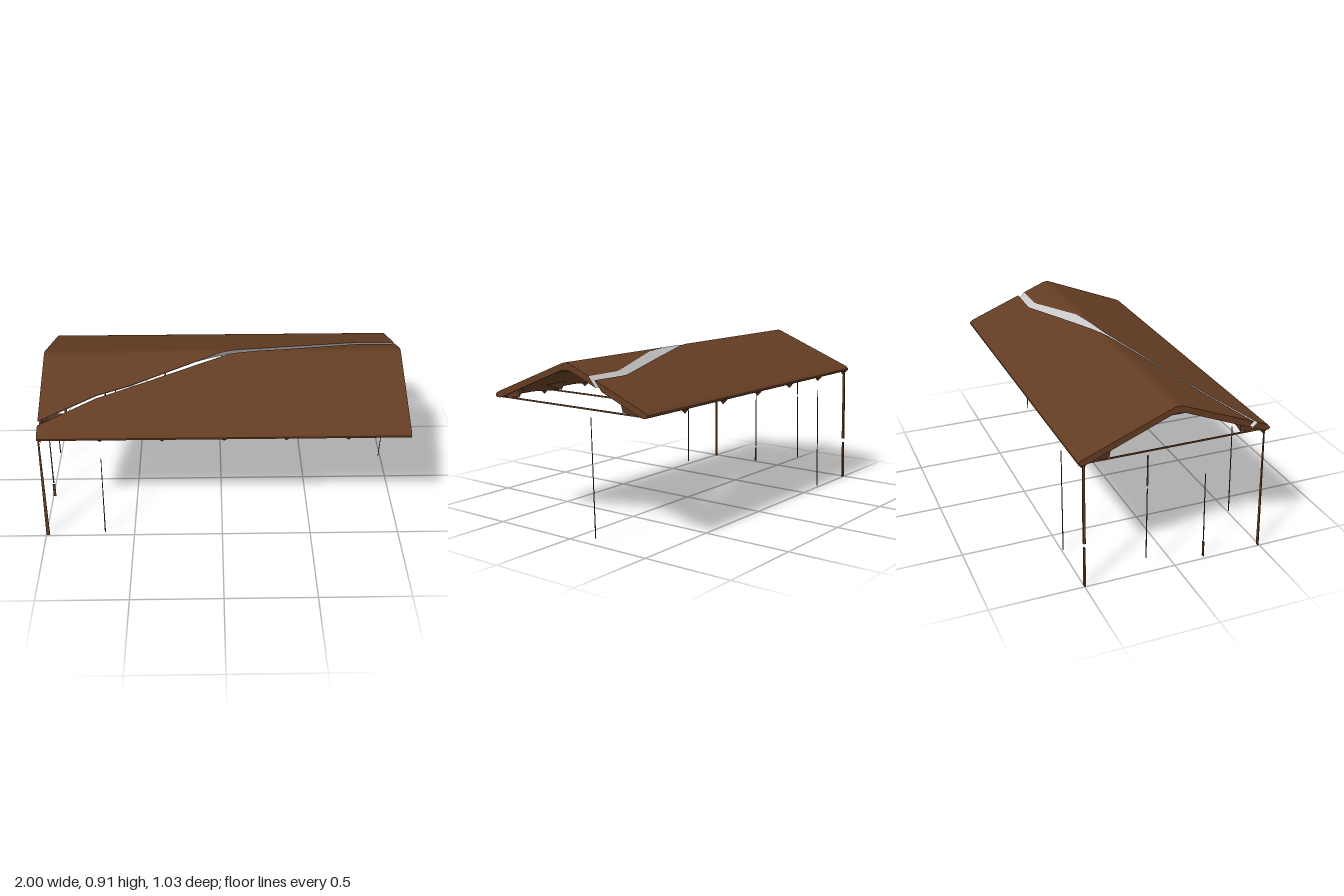
import * as THREE from 'three';
import { toCreasedNormals } from 'three/addons/utils/BufferGeometryUtils.js';

const brown = new THREE.MeshStandardMaterial({ color: 0x633c22, side: THREE.DoubleSide });
const grey = new THREE.MeshStandardMaterial({ color: 0xcccccc, side: THREE.DoubleSide });

// Straight-line interpolation through [input, output] pairs
function lerpTable(table, t) {
  for (let i = 1; i < table.length; i++) {
    const [a, va] = table[i - 1], [b, vb] = table[i];
    if (t <= b) return va + (vb - va) * Math.max(0, (t - a) / (b - a));
  }
  return table[table.length - 1][1];
}

// Roof height by distance from the ridge
const topY = z => lerpTable([[0, 0.912], [0.02, 0.908], [0.49, 0.72], [0.508, 0.711], [0.517, 0.7]], Math.abs(z));
const underY = z => lerpTable([[0, 0.87], [0.035, 0.868], [0.47, 0.69], [0.5, 0.682], [0.517, 0.69]], Math.abs(z));

// The two edges of the crack, as z along x
const frontEdge = x => lerpTable([[-0.98, 0.445], [-0.68, 0.29], [-0.5, 0.225], [0.05, 0.02], [0.36, -0.02], [0.78, -0.15], [1, -0.15]], x);
const backEdge = x => lerpTable([[-0.98, 0.42], [-0.68, 0.272], [-0.5, 0.215], [0.03, 0], [0.36, -0.085], [0.77, -0.195], [1, -0.19]], x);
const slant = x => lerpTable([[-0.98, 0.03], [0, 0.03], [0.5, 0.045], [1, 0.045]], x);

const gridZ = [0.517, 0.508, 0.49, 0.47, 0.36, 0.24, 0.12, 0.035, 0.02, 0,
  -0.02, -0.035, -0.12, -0.24, -0.36, -0.47, -0.49, -0.508, -0.517];
const N = gridZ.length;
const stations = [-0.965, -0.65, -0.32, 0.01, 0.34, 0.67, 0.985];

function quadGeometry(quads) {
  const pos = [];
  for (const [a, b, c, d] of quads) pos.push(...a, ...b, ...c, ...a, ...c, ...d);
  const g = new THREE.BufferGeometry();
  g.setAttribute('position', new THREE.Float32BufferAttribute(pos, 3));
  return g;
}

// One half of the broken roof shell, with its slanting fracture face
function roofHalf(name, edge, side) {
  const clip = side > 0 ? Math.max : Math.min;
  const rings = [];
  for (let i = 0; i <= 66; i++) {
    const x = -0.98 + 0.03 * i;
    const outer = gridZ.map(z => clip(z, edge(x))).map(z => [x, topY(z), z]);
    const inner = gridZ.map(z => clip(z, edge(x) - slant(x))).map(z => [x, underY(z), z]);
    rings.push([...outer, ...inner.reverse()]);
  }
  const crackSide = side > 0 ? N - 1 : 2 * N - 1;
  const skin = [], fracture = [];
  for (let i = 0; i < rings.length - 1; i++) {
    for (let j = 0; j < 2 * N; j++) {
      const k = (j + 1) % (2 * N);
      (j === crackSide ? fracture : skin).push([rings[i][j], rings[i + 1][j], rings[i + 1][k], rings[i][k]]);
    }
  }
  // End faces
  const first = rings[0], last = rings[rings.length - 1];
  for (let j = 0; j < N - 1; j++) {
    const m = 2 * N - 1 - j;
    skin.push([first[j], first[j + 1], first[m - 1], first[m]]);
    skin.push([last[j], last[m], last[m - 1], last[j + 1]]);
  }
  const group = new THREE.Group();
  group.name = name;
  const shell = new THREE.Mesh(toCreasedNormals(quadGeometry(skin), 0.6), brown);
  shell.name = name + 'Shell';
  const wall = new THREE.Mesh(quadGeometry(fracture), grey);
  wall.name = name + 'FractureFace';
  group.add(shell, wall);
  return group;
}

// Wedge under the eave, deepest at the frame and fading out along the roof
function gusset(x, side) {
  const s = side, x0 = Math.max(-0.975, x - 0.03), x1 = Math.min(0.995, x + 0.14);
  const heel = [x, 0.684, 0.49 * s], toe = [x, 0.697, 0.355 * s], top = [x, 0.75, 0.35 * s];
  const ends = [x0, x1].map(e => [[e, 0.69, 0.485 * s], [e, 0.745, 0.35 * s]]);
  const quads = ends.flatMap(([low, high]) => [[heel, toe, low, low], [toe, top, high, low]]);
  const mesh = new THREE.Mesh(quadGeometry(quads), brown);
  mesh.name = 'eaveGusset';
  return mesh;
}

// Thin leaning blade: narrow at the top, spreading towards the foot
function post(x, z, y0, y1, width, depth) {
  const g = new THREE.BoxGeometry(width, y1 - y0, depth, 1, 4, 1);
  g.translate(0, (y0 + y1) / 2, 0);
  const p = g.attributes.position;
  for (let i = 0; i < p.count; i++) {
    const t = p.getY(i) / 0.68;
    const taper = 1 - 0.6 * t;
    p.setX(i, x + p.getX(i) * taper - 0.015 * (1 - t));
    p.setZ(i, z + p.getZ(i) + Math.sign(z) * 0.005 * (1 - t));
  }
  g.computeVertexNormals();
  const mesh = new THREE.Mesh(g, brown);
  mesh.name = 'post';
  return mesh;
}

function box(name, w, h, d, x, y, z) {
  const mesh = new THREE.Mesh(new THREE.BoxGeometry(w, h, d), brown);
  mesh.name = name;
  mesh.position.set(x, y, z);
  return mesh;
}

export function createModel() {
  const model = new THREE.Group();
  model.name = 'brokenShelter';
  model.add(roofHalf('frontRoof', frontEdge, 1), roofHalf('backRoof', backEdge, -1));

  // Frames under the roof: tie, ridge stub, gussets and post heads
  for (const x of stations) {
    model.add(box('tieBeam', 0.006, 0.008, 0.96, x, 0.689, 0));
    const stub = new THREE.Mesh(new THREE.ConeGeometry(0.018, 0.014, 6), brown);
    stub.name = 'ridgeStub';
    stub.rotation.x = Math.PI;
    stub.position.set(x, 0.864, 0.01);
    model.add(stub);
    for (const side of [1, -1]) {
      model.add(gusset(x, side));
      if (x > 0.9) continue;
      const head = new THREE.Mesh(new THREE.ConeGeometry(0.024, 0.025, 6), brown);
      head.name = 'postHead';
      head.rotation.x = Math.PI;
      head.scale.x = x < -0.9 ? 0.5 : 1;
      head.position.set(x, 0.672, 0.49 * side);
      model.add(head);
    }
  }

  // Remains of the posts: x, z, foot, top, width, depth
  const posts = [
    [-0.975, 0.488, 0, 0.68, 0.02, 0.005],
    [-0.975, -0.492, 0.25, 0.68, 0.02, 0.012],
    [-0.975, -0.492, 0, 0.225, 0.02, 0.008],
    [-0.975, 0.162, 0.11, 0.5, 0.008, 0.003],
    [-0.975, 0.162, 0.01, 0.1, 0.016, 0.005],
    [-0.975, -0.156, 0.5, 0.67, 0.008, 0.007],
    [-0.975, -0.156, 0.08, 0.485, 0.006, 0.004],
    [-0.65, 0.488, 0.02, 0.55, 0.006, 0.004],
    [-0.65, -0.49, 0.01, 0.6, 0.006, 0.004],
    [0.995, -0.156, 0.03, 0.65, 0.004, 0.004],
  ];
  for (const p of posts) model.add(post(...p));
  return model;
}
